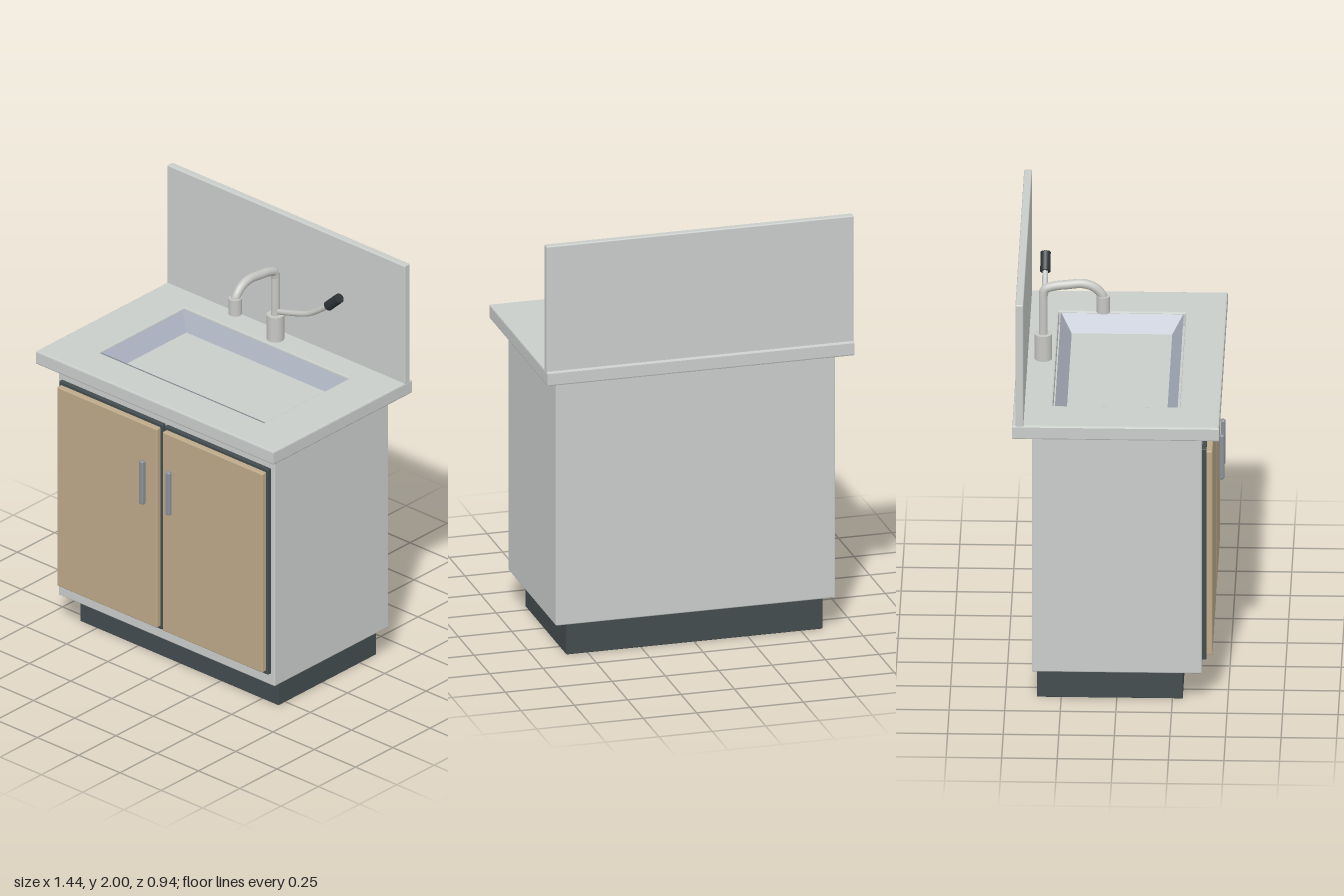
import * as THREE from 'three';
import { RoundedBoxGeometry } from 'three/addons/geometries/RoundedBoxGeometry.js';

const mat = (name, color, side = THREE.FrontSide) => {
  const m = new THREE.MeshStandardMaterial({ color, side });
  m.name = name;
  return m;
};

export function createModel() {
  const model = new THREE.Group();
  model.name = 'sinkCabinet';
  const panel = mat('pale grey', 0xc9cdca);
  const wood = mat('tan wood', 0xbda989);
  const dark = mat('charcoal', 0x434c4f);
  const steel = mat('blue steel', 0xa9b0bd, THREE.DoubleSide);
  const handleMetal = mat('handle grey', 0x8a9198);
  const tapMetal = mat('tap metal', 0xc6c7c3);
  const rubber = mat('black grip', 0x2b3236);

  const add = (name, geometry, material) => {
    const mesh = new THREE.Mesh(geometry, material);
    mesh.name = name;
    model.add(mesh);
    return mesh;
  };
  // Softly rounded box given by its limits on each axis
  const box = (name, [x0, x1], [y0, y1], [z0, z1], material, r = 0.006) => {
    const g = new RoundedBoxGeometry(x1 - x0, y1 - y0, z1 - z0, 2, r);
    g.translate((x0 + x1) / 2, (y0 + y1) / 2, (z0 + z1) / 2);
    return add(name, g, material);
  };
  // Cylinder between two points
  const rod = (name, a, b, r, material) => {
    const d = b.clone().sub(a);
    const mesh = add(name, new THREE.CylinderGeometry(r, r, d.length(), 24), material);
    mesh.position.copy(a).addScaledVector(d, 0.5);
    mesh.quaternion.setFromUnitVectors(new THREE.Vector3(0, 1, 0), d.normalize());
    return mesh;
  };
  const v = (x, y, z) => new THREE.Vector3(x, y, z);

  // Cabinet body on a recessed plinth
  box('plinth', [-0.6, 0.6], [0, 0.16], [-0.36, 0.297], dark, 0.003);
  box('cabinet', [-0.655, 0.655], [0.15, 1.32], [-0.381, 0.384], panel);

  // Mirrored doors, each on a dark surround with a bar handle
  for (const s of [-1, 1]) {
    const span = (a, b) => (s > 0 ? [a, b] : [-b, -a]);
    box('doorSurround', span(0.006, 0.633), [0.21, 1.255], [0.375, 0.404], dark, 0.003);
    box('door', span(0.017, 0.622), [0.226, 1.24], [0.39, 0.431], wood);
    box('doorHandle', span(0.067, 0.093), [0.85, 1.07], [0.447, 0.47], handleMetal, 0.008);
  }

  // Counter with a rectangular opening; shape y runs towards the back
  const rect = (path, x, z0, z1) => {
    path.moveTo(-x, -z1);
    path.lineTo(x, -z1);
    path.lineTo(x, -z0);
    path.lineTo(-x, -z0);
    path.closePath();
    return path;
  };
  const bevel = 0.007;
  const slab = rect(new THREE.Shape(), 0.72 - bevel, -0.467 + bevel, 0.463 - bevel);
  slab.holes.push(rect(new THREE.Path(), 0.502 + bevel / 2, -0.294 - bevel / 2, 0.284 + bevel / 2));
  const counter = new THREE.ExtrudeGeometry(slab, {
    depth: 0.067 - 2 * bevel, bevelThickness: bevel, bevelSize: bevel, bevelSegments: 2,
  });
  counter.rotateX(-Math.PI / 2);
  counter.translate(0, 1.334 + bevel, 0);
  add('counter', counter, panel);
  box('backsplash', [-0.72, 0.72], [1.395, 2], [-0.453, -0.417], panel);

  // Basin: rectangular loops from the outer foot over the rim to the inner foot
  const loops = [[0.462, 1.32, 0.247], [0.502, 1.396, 0.276], [0.435, 1.321, 0.226]];
  const corners = ([x, y, z]) => [[-x, y, z], [x, y, z], [x, y, -z], [-x, y, -z]];
  const pos = [];
  for (let i = 0; i < 2; i++) {
    const lo = corners(loops[i]), hi = corners(loops[i + 1]);
    for (let k = 0; k < 4; k++) {
      const n = (k + 1) % 4;
      for (const p of [lo[k], lo[n], hi[n], lo[k], hi[n], hi[k]]) pos.push(...p);
    }
  }
  const basin = new THREE.BufferGeometry();
  basin.setAttribute('position', new THREE.Float32BufferAttribute(pos, 3));
  basin.computeVertexNormals();
  basin.translate(0, 0, -0.005);
  add('basinWalls', basin, steel);
  const floor = new THREE.PlaneGeometry(0.87, 0.452);
  floor.rotateX(-Math.PI / 2);
  floor.translate(0, 1.3215, -0.005);
  add('basinFloor', floor, panel);

  // Tap: base, curved spout and nozzle
  const tz = -0.347;
  rod('tapBase', v(0, 1.395, tz), v(0, 1.525, tz), 0.04, tapMetal);
  rod('tapColumn', v(0, 1.52, tz), v(0, 1.74, tz), 0.02, tapMetal);
  const spout = new THREE.CatmullRomCurve3([
    v(0, 1.72, tz), v(0, 1.745, -0.338), v(0, 1.76, -0.3), v(0, 1.768, -0.24),
    v(0, 1.774, -0.17), v(0, 1.757, -0.118), v(0, 1.72, -0.083), v(0, 1.69, -0.077),
  ]);
  add('spout', new THREE.TubeGeometry(spout, 48, 0.021, 16), tapMetal);
  rod('nozzle', v(0, 1.635, -0.077), v(0, 1.715, -0.077), 0.03, tapMetal);

  // Side lever with a dark grip
  const lever = new THREE.CatmullRomCurve3([
    v(0.02, 1.545, tz), v(0.12, 1.572, tz), v(0.2, 1.6, tz), v(0.27, 1.645, tz), v(0.34, 1.7, tz),
  ]);
  add('lever', new THREE.TubeGeometry(lever, 32, 0.013, 12), tapMetal);
  rod('leverGrip', v(0.32, 1.682, tz), v(0.388, 1.746, tz), 0.023, rubber);

  return model;
}
